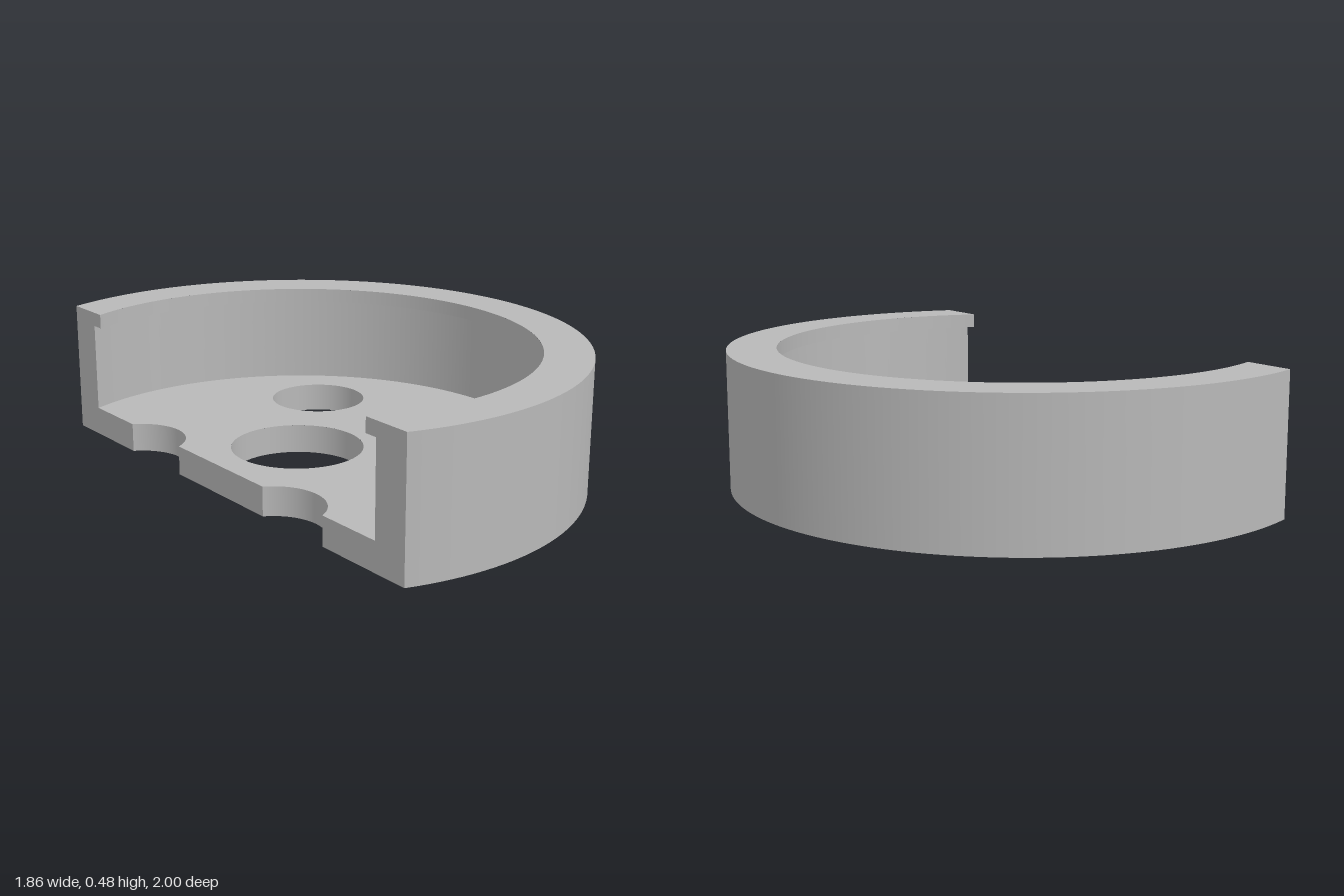
import * as THREE from 'three';

const SEG = 96;
const R = 1.02, RIM = 0.849, BORE = 0.893;      // outer wall, lip and undercut radii
const FLOOR = 0.105, LIP = 0.43, TOP = 0.482;   // heights
const CUT = 0.335;                              // distance of the flat cut from the axis
const HOLE = 0.178, OFF = 0.414, HUB = 0.235;   // hole radius, hole offset, centre hole radius

const halfChord = r => Math.sqrt(r * r - CUT * CUT);
const cutAngle = (r, cu = 0) => Math.acos((CUT - cu) / r);

// Circle clipped by the flat cut, with two edge notches, two holes and a hub hole
function plateShape(r) {
  const s = new THREE.Shape();
  const a = cutAngle(r), b = cutAngle(HOLE, OFF);
  s.absarc(0, 0, r, a, 2 * Math.PI - a, false);
  for (const v of [-OFF, OFF]) s.absarc(OFF, v, HOLE, 2 * Math.PI - b, b, true);
  s.closePath();
  for (const [u, v, hr] of [[0, 0, HUB], [-OFF, OFF, HOLE], [-OFF, -OFF, HOLE]]) {
    s.holes.push(new THREE.Path().absarc(u, v, hr, 0, 2 * Math.PI, true));
  }
  return s;
}

// Ring between two radii, clipped by the flat cut
function bandShape(outer, inner) {
  const s = new THREE.Shape();
  const a = cutAngle(outer), b = cutAngle(inner);
  s.absarc(0, 0, outer, a, 2 * Math.PI - a, false);
  s.absarc(0, 0, inner, 2 * Math.PI - b, b, true);
  s.closePath();
  return s;
}

// Horizontal face at height y, facing up or down
function flat(shape, y, up) {
  const g = new THREE.ShapeGeometry(shape, SEG);
  // every shape is mirror-symmetric, so a turn either way gives the same outline
  g.rotateX(up ? -Math.PI / 2 : Math.PI / 2);
  return g.translate(0, y, 0);
}

// Upright round wall; rising y faces outward, falling y faces inward
function wall(r, yStart, yEnd, a = 0, u = 0, v = 0) {
  const pts = [new THREE.Vector2(r, yStart), new THREE.Vector2(r, yEnd)];
  const g = new THREE.LatheGeometry(pts, SEG, Math.PI / 2 + a, 2 * (Math.PI - a));
  return g.translate(u, 0, v);
}

// Upright face lying in the flat cut
function cutFace(points) {
  const s = new THREE.Shape(points.map(p => new THREE.Vector2(...p)));
  return new THREE.ShapeGeometry(s).rotateY(Math.PI / 2).translate(CUT, 0, 0);
}

export function createModel() {
  const grey = new THREE.MeshStandardMaterial({ color: 0xb8b8b8 });
  grey.name = 'plain grey';

  const body = new THREE.Group();
  body.name = 'cutCup';
  const add = (name, geometry) => {
    const m = new THREE.Mesh(geometry, grey);
    m.name = name;
    body.add(m);
  };

  // Horizontal faces
  add('underside', flat(plateShape(R), 0, false));
  add('floor', flat(plateShape(BORE), FLOOR, true));
  add('rimTop', flat(bandShape(R, RIM), TOP, true));
  add('lipUnderside', flat(bandShape(BORE, RIM), LIP, false));

  // Round walls
  add('outerWall', wall(R, 0, TOP, cutAngle(R)));
  add('innerWall', wall(BORE, LIP, FLOOR, cutAngle(BORE)));
  add('lipWall', wall(RIM, TOP, LIP, cutAngle(RIM)));

  // Hole and notch walls
  add('hubHole', wall(HUB, FLOOR, 0));
  for (const side of [-1, 1]) {
    add('floorHole', wall(HOLE, FLOOR, 0, 0, -OFF, side * OFF));
    add('edgeNotch', wall(HOLE, FLOOR, 0, cutAngle(HOLE, OFF), OFF, side * OFF));
  }

  // Faces of the flat cut: floor middle and both wall ends
  const notch = Math.sqrt(HOLE ** 2 - (CUT - OFF) ** 2);
  const n0 = OFF - notch, n1 = OFF + notch;
  add('floorCutFace', cutFace([[-n0, 0], [n0, 0], [n0, FLOOR], [-n0, FLOOR]]));
  const end = [
    [n1, 0], [halfChord(R), 0], [halfChord(R), TOP], [halfChord(RIM), TOP],
    [halfChord(RIM), LIP], [halfChord(BORE), LIP], [halfChord(BORE), FLOOR], [n1, FLOOR],
  ];
  for (const side of [-1, 1]) add('wallCutFace', cutFace(end.map(([x, y]) => [side * x, y])));

  // Turn the flat cut toward the front right corner and centre the model
  body.rotation.y = THREE.MathUtils.degToRad(-144);
  body.position.set(-0.093, 0, 0.02);

  const model = new THREE.Group();
  model.name = 'model';
  model.add(body);
  return model;
}
